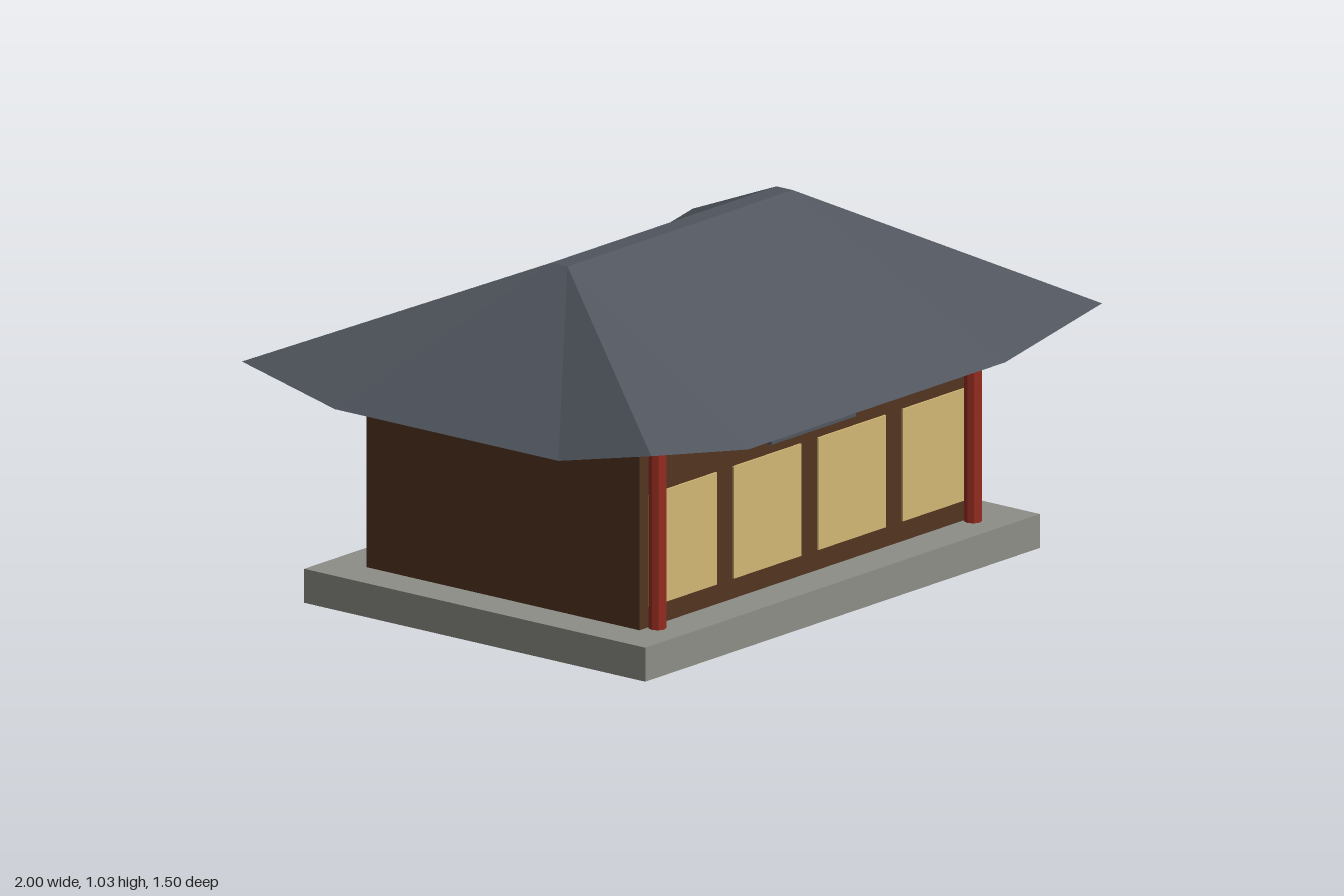
import * as THREE from 'three';

const mat = (name, color) => {
  const m = new THREE.MeshStandardMaterial({ color });
  m.name = name;
  return m;
};

// Ring of 12 points, counterclockwise from above: each corner with a bend point on either side
function ring(cx, cz, cornerY, bx, bz, bendY) {
  const pts = [];
  for (const [sx, sz] of [[-1, 1], [1, 1], [1, -1], [-1, -1]]) {
    const alongX = [sx * bx, bendY, sz * cz];
    const alongZ = [sx * cx, bendY, sz * bz];
    const corner = [sx * cx, cornerY, sz * cz];
    pts.push(...(sx * sz < 0 ? [alongZ, corner, alongX] : [alongX, corner, alongZ]));
  }
  return pts.map((p) => new THREE.Vector3(...p));
}

// Skin a stack of rings with flat facets, skipping collapsed triangles
function loft(rings) {
  const pos = [];
  const tri = (...v) => {
    if (new THREE.Triangle(...v).getArea() > 1e-6) v.forEach((p) => pos.push(p.x, p.y, p.z));
  };
  for (let r = 0; r < rings.length - 1; r++) {
    const a = rings[r], b = rings[r + 1];
    for (let i = 0; i < a.length; i++) {
      const j = (i + 1) % a.length;
      tri(a[i], a[j], b[j]);
      tri(a[i], b[j], b[i]);
    }
  }
  const g = new THREE.BufferGeometry();
  g.setAttribute('position', new THREE.Float32BufferAttribute(pos, 3));
  g.computeVertexNormals();
  return g;
}

export function createModel() {
  const group = new THREE.Group();
  const stone = mat('stone grey', 0x8e8e88);
  const wood = mat('dark wood', 0x523420);
  const paper = mat('paper cream', 0xd2b675);
  const red = mat('red lacquer', 0x952d20);
  const tile = mat('slate tile', 0x50555e);

  const add = (name, geometry, material, x, y, z) => {
    const m = new THREE.Mesh(geometry, material);
    m.name = name;
    m.position.set(x, y, z);
    group.add(m);
  };

  // Plinth and hall
  add('plinth', new THREE.BoxGeometry(1.75, 0.1, 1.25), stone, 0, 0.05, 0);
  add('walls', new THREE.BoxGeometry(1.5, 0.53, 1), wood, 0, 0.365, 0);

  // Paper screens across the front
  for (let i = 0; i < 4; i++) {
    add('screen', new THREE.BoxGeometry(0.3, 0.33, 0.008), paper, (i - 1.5) * 0.375, 0.325, 0.502);
  }

  // Front posts and the plain board over the entrance
  for (const s of [-1, 1]) {
    const post = new THREE.CylinderGeometry(0.025, 0.025, 0.53, 8).toNonIndexed();
    post.computeVertexNormals();
    add('frontPost', post, red, s * 0.7, 0.365, 0.525);
  }
  add('entranceBoard', new THREE.BoxGeometry(0.375, 0.105, 0.02), tile, 0, 0.575, 0.51);

  // Hipped roof with upturned corners: soffit, eaves, ridge, ridge cap
  const roof = loft([
    ring(0.75, 0.5, 0.627, 0.57, 0.41, 0.627),
    ring(1, 0.75, 0.715, 0.57, 0.41, 0.638),
    ring(0.5, 0.03, 1.027, 0.5, 0.03, 1.027),
    ring(0, 0, 1.027, 0, 0, 1.027),
  ]);
  add('roof', roof, tile, 0, 0, 0);

  return group;
}
